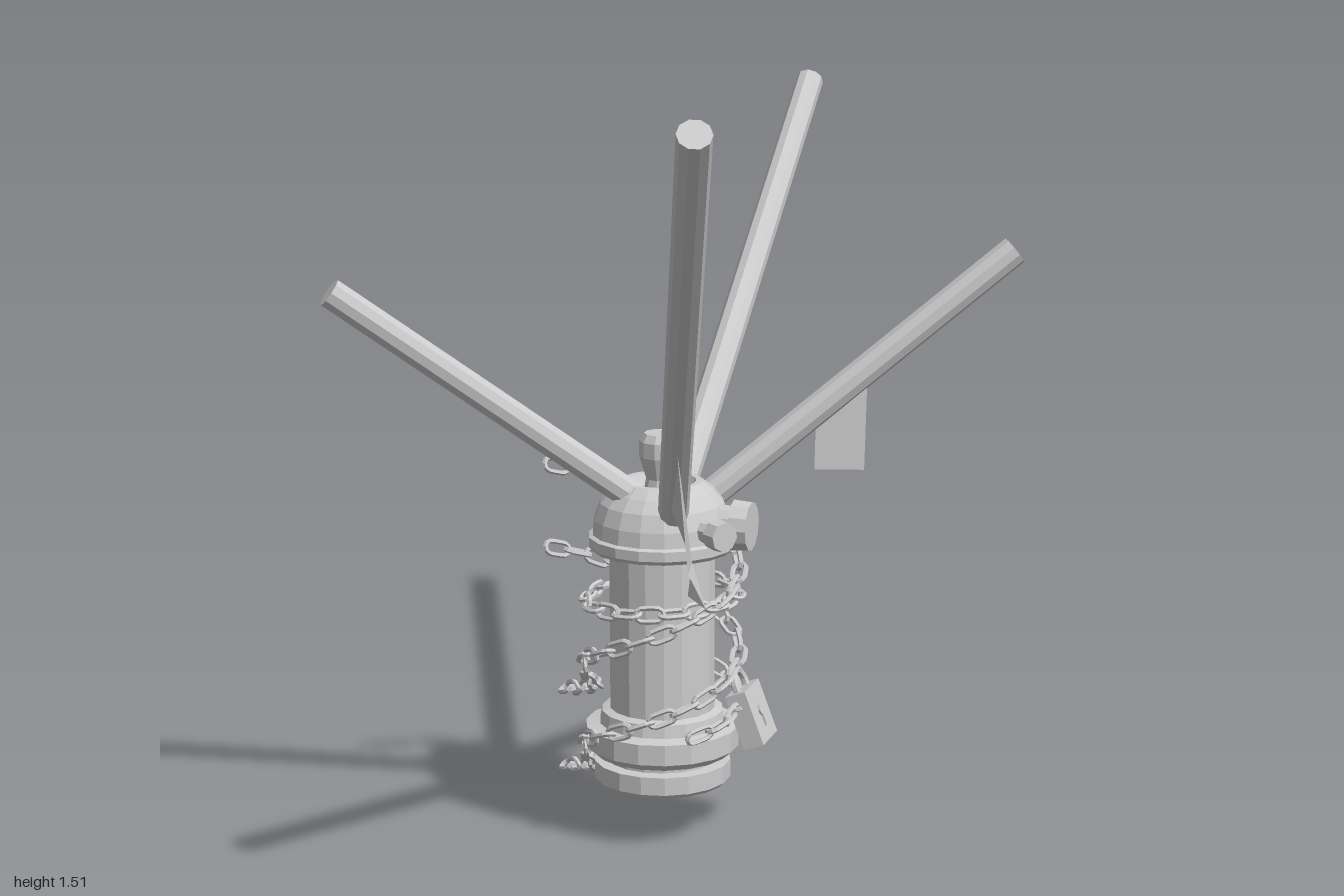
import * as THREE from 'three';

const CX = -0.034, CZ = 0.062; // axis of the post

export function createModel() {
  const model = new THREE.Group();
  const steel = new THREE.MeshStandardMaterial({ color: 0xcccccc });
  steel.name = 'light grey steel';
  steel.flatShading = true;
  steel.side = THREE.DoubleSide;
  const V = (x, y, z) => new THREE.Vector3(x, y, z);

  const add = (name, geometry, parent = model) => {
    const mesh = new THREE.Mesh(geometry, steel);
    mesh.name = name;
    parent.add(mesh);
    return mesh;
  };
  // Cylinder between two points
  const rod = (name, a, b, r0, r1 = r0, sides = 10) => {
    const dir = b.clone().sub(a);
    const mesh = add(name, new THREE.CylinderGeometry(r1, r0, dir.length(), sides));
    mesh.position.copy(a).addScaledVector(dir, 0.5);
    mesh.quaternion.setFromUnitVectors(V(0, 1, 0), dir.normalize());
    return mesh;
  };
  const lathe = (name, profile, sides) => {
    const mesh = add(name, new THREE.LatheGeometry(profile.map(p => new THREE.Vector2(...p)), sides));
    mesh.position.set(CX, 0, CZ);
    return mesh;
  };

  // Post with base flanges, barrel and domed bonnet with a recessed top
  lathe('body', [
    [0, 0.125], [0.042, 0.125], [0.042, 0.112], [0.125, 0.112], [0.133, 0.12], [0.133, 0.155],
    [0.11, 0.157], [0.11, 0.168], [0.132, 0.17], [0.149, 0.185], [0.149, 0.225], [0.122, 0.23],
    [0.118, 0.255], [0.102, 0.26], [0.102, 0.57], [0.135, 0.575], [0.142, 0.583], [0.142, 0.602],
    [0.134, 0.606], [0.131, 0.635], [0.119, 0.667], [0.1, 0.69], [0.078, 0.708], [0.066, 0.708],
    [0.052, 0.685], [0, 0.685],
  ], 18);
  // Top knob
  lathe('topKnob', [
    [0.036, 0.68], [0.03, 0.712], [0.043, 0.755], [0.043, 0.785], [0.034, 0.8], [0, 0.8],
  ], 10);

  // Side outlets with caps
  rod('sideOutlet', V(0.04, 0.63, CZ), V(0.115, 0.63, CZ), 0.038, 0.038, 12);
  rod('sideOutletCap', V(0.11, 0.63, CZ), V(0.145, 0.63, CZ), 0.05, 0.047, 12);
  rod('smallOutlet', V(0.03, 0.63, 0.105), V(0.11, 0.63, 0.148), 0.022, 0.022, 8);
  rod('smallOutletCap', V(0.097, 0.63, 0.138), V(0.12, 0.63, 0.155), 0.031, 0.029, 8);

  // Four spreading poles
  rod('backPole', V(-0.035, 0.64, -0.03), V(-0.035, 1.363, -0.98), 0.029);
  rod('frontPole', V(0.01, 0.645, 0.13), V(0.321, 1.49, 0.98), 0.029);
  rod('rightPole', V(-0.06, 0.672, 0.106), V(-0.57, 1.095, 0.38), 0.029);
  rod('leftPole', V(0.01, 0.64, 0.002), V(0.572, 1.13, -0.259), 0.029);

  // Thin plates hanging from two of the poles
  const plate = (name, corners, tris) => {
    const g = new THREE.BufferGeometry().setFromPoints(tris.map(i => corners[i]));
    g.computeVertexNormals();
    add(name, g);
  };
  plate('leftPoleFlag', [
    V(0.225, 0.712, -0.09), V(0.317, 0.712, -0.117), V(0.317, 0.905, -0.135), V(0.225, 0.825, -0.1),
  ], [0, 1, 2, 0, 2, 3]);
  plate('frontPoleFlag', [
    V(0.09, 0.84, 0.353), V(0.035, 0.69, 0.215), V(0.07, 0.59, 0.2),
    V(0.105, 0.605, 0.335), V(0.06, 0.522, 0.195), V(0.13, 0.532, 0.305),
  ], [0, 1, 2, 0, 2, 3, 2, 4, 5, 2, 5, 3]);

  // Padlock leaning outwards
  const padlock = new THREE.Group();
  padlock.name = 'padlock';
  add('padlockBody', new THREE.BoxGeometry(0.042, 0.11, 0.094), padlock);
  const shackle = new THREE.CatmullRomCurve3([
    V(0, 0.04, -0.028), V(0, 0.07, -0.028), V(0, 0.088, -0.016), V(0, 0.093, 0),
    V(0, 0.088, 0.016), V(0, 0.07, 0.028), V(0, 0.04, 0.028),
  ]);
  add('shackle', new THREE.TubeGeometry(shackle, 14, 0.008, 6), padlock);
  const keyhole = add('keyhole', new THREE.CylinderGeometry(0.012, 0.012, 0.006, 8), padlock);
  keyhole.rotation.z = Math.PI / 2;
  keyhole.position.set(0.022, 0.005, 0);
  add('keySlot', new THREE.BoxGeometry(0.006, 0.03, 0.007), padlock).position.set(0.022, -0.013, 0);
  padlock.position.set(0.132, 0.242, 0.016);
  padlock.rotation.z = 0.36;
  model.add(padlock);

  // One oval chain link, long along x
  const oval = [];
  for (let i = 0; i < 12; i++) {
    const a = i / 12 * Math.PI * 2, c = Math.cos(a);
    oval.push(V(0.012 * c + 0.015 * Math.sign(Math.round(c * 100)), 0.013 * Math.sin(a), 0));
  }
  const linkGeo = new THREE.TubeGeometry(new THREE.CatmullRomCurve3(oval, true), 16, 0.005, 5, true);

  // Links strung along a path, alternately flat and upright
  const chain = (name, points, closed = false) => {
    const curve = new THREE.CatmullRomCurve3(points, closed);
    const group = new THREE.Group();
    group.name = name;
    const n = Math.round(curve.getLength() / 0.046);
    for (let i = 0; i < n; i++) {
      const u = (i + 0.5) / n, p = curve.getPointAt(u), t = curve.getTangentAt(u);
      const side = V(p.x - CX, 0, p.z - CZ).cross(t).normalize();
      const m = new THREE.Matrix4().makeBasis(t, side, t.clone().cross(side));
      const link = add('chainLink', linkGeo, group);
      link.quaternion.setFromRotationMatrix(m);
      link.rotateX(i % 2 ? 1.35 : 0.15);
      link.position.copy(p);
    }
    model.add(group);
  };
  const around = (a, y, r = 0.145) => V(CX + r * Math.cos(a), y, CZ + r * Math.sin(a));

  // Two wrapped chains with loose ends
  [['lowerChain', 0], ['upperChain', 0.165]].forEach(([name, lift]) => {
    const pts = [V(-0.34, 0.015, -0.217), V(-0.27, 0.05, -0.13), V(-0.205, 0.09, -0.04), V(-0.187, 0.135, 0.06)];
    for (let i = 0; i <= 12; i++) {
      const a = Math.PI * (0.85 - i / 12 * 1.55);
      pts.push(around(a, 0.168 + (Math.PI - a) * 0.059, 0.148));
    }
    pts.push(V(-0.2, 0.53, 0), V(-0.265, 0.56, 0.07));
    pts.forEach(p => { p.y += lift; });
    chain(name, pts);
  });
  // Level loop and the short run that carries the padlock
  const loop = [], run = [];
  for (let i = 0; i < 12; i++) loop.push(around(i / 6 * Math.PI, 0.48 + 0.008 * Math.cos(i / 6 * Math.PI)));
  for (let i = 0; i <= 6; i++) run.push(around(0.9 - i * 0.35, 0.235 + i * 0.012, 0.148));
  chain('loopChain', loop, true);
  chain('padlockChain', run);

  return model;
}
